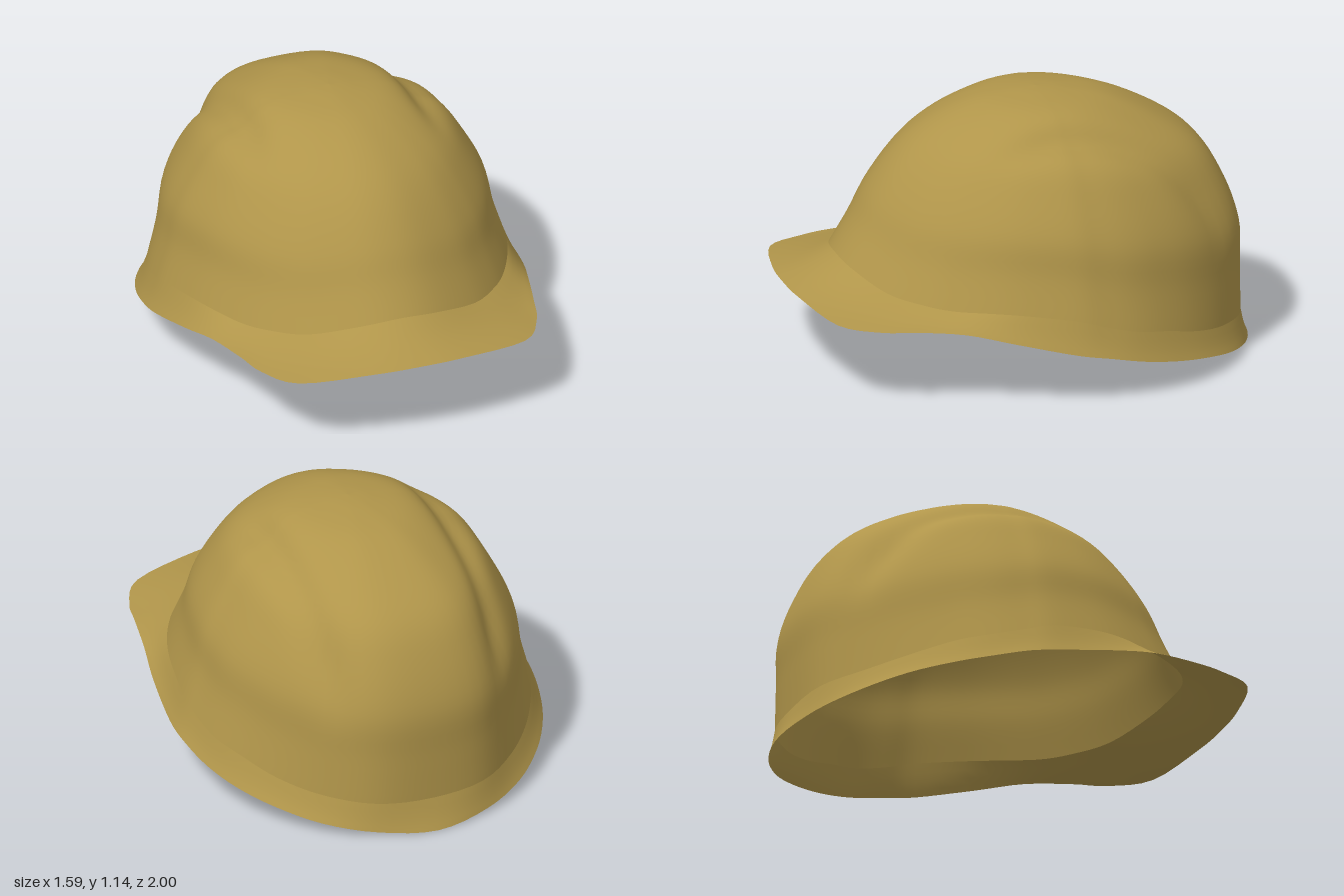
import * as THREE from 'three';

const SEGMENTS = 112;

// Half outlines from the front centre round the left side to the back centre.
const RIM = [
  [0, 0.39, 0.995], [0.2, 0.385, 0.98], [0.5, 0.36, 0.9], [0.61, 0.35, 0.74], [0.65, 0.35, 0.6],
  [0.7, 0.335, 0.4], [0.75, 0.29, 0.2], [0.79, 0.23, -0.05], [0.79, 0.2, -0.2], [0.76, 0.16, -0.36],
  [0.7, 0.125, -0.52], [0.6, 0.09, -0.68], [0.45, 0.05, -0.83], [0.25, 0.02, -0.945], [0, 0.0, -1],
];
const BASE = [
  [0, 0.5, 0.77], [0.17, 0.48, 0.745], [0.37, 0.43, 0.65], [0.5, 0.41, 0.53], [0.58, 0.4, 0.42],
  [0.65, 0.4, 0.28], [0.7, 0.39, 0.13], [0.74, 0.36, -0.07], [0.74, 0.32, -0.2], [0.72, 0.28, -0.34],
  [0.665, 0.25, -0.48], [0.57, 0.2, -0.64], [0.43, 0.16, -0.79], [0.24, 0.14, -0.92], [0, 0.13, -0.95],
];

// Dome profiles: height fraction, then radius fraction at the front, side and back.
const PROFILE = [
  [0, 1, 1, 1], [0.2, 0.91, 0.935, 1], [0.4, 0.83, 0.89, 0.995], [0.6, 0.72, 0.78, 0.91],
  [0.75, 0.6, 0.67, 0.79], [0.87, 0.45, 0.51, 0.58], [0.955, 0.28, 0.34, 0.36],
  [0.99, 0.12, 0.14, 0.15], [1, 0, 0, 0],
];
const APEX = new THREE.Vector3(0, 1.145, -0.1);

// Closed, mirrored loop sampled evenly in its parameter.
function loop(half) {
  const mirrored = half.slice(1, -1).reverse().map(([x, y, z]) => [-x, y, z]);
  const points = [...half, ...mirrored].map((p) => new THREE.Vector3(...p));
  const curve = new THREE.CatmullRomCurve3(points, true, 'catmullrom', 0.5);
  return Array.from({ length: SEGMENTS }, (_, i) => curve.getPoint(i / SEGMENTS));
}

// Skin a list of rings, listed from the bottom up.
function skin(rings) {
  const position = [], index = [];
  rings.forEach((ring) => ring.forEach((p) => position.push(p.x, p.y, p.z)));
  for (let r = 0; r < rings.length - 1; r++) {
    for (let i = 0; i < SEGMENTS; i++) {
      const j = (i + 1) % SEGMENTS;
      const a = r * SEGMENTS + i, b = r * SEGMENTS + j;
      index.push(a, b, b + SEGMENTS, a, b + SEGMENTS, a + SEGMENTS);
    }
  }
  const geometry = new THREE.BufferGeometry();
  geometry.setAttribute('position', new THREE.Float32BufferAttribute(position, 3));
  geometry.setIndex(index);
  geometry.computeVertexNormals();
  return geometry;
}

// Smooth interpolation of the profile table.
const profileCurves = [1, 2, 3].map((k) =>
  new THREE.CatmullRomCurve3(PROFILE.map((p) => new THREE.Vector3(p[k], p[0], 0)), false, 'catmullrom', 0.5));

function domePoint(base, t) {
  const dx = base.x - APEX.x, dz = base.z - APEX.z;
  const w = (dz * dz) / (dx * dx + dz * dz);
  const end = profileCurves[dz > 0 ? 0 : 2].getPoint(t);
  const f = profileCurves[1].getPoint(t).lerp(end, w);
  const p = new THREE.Vector3(
    APEX.x + dx * f.x, base.y + (APEX.y - base.y) * Math.min(f.y, 1), APEX.z + dz * f.x);

  // Shallow grooves either side of the raised centre crown, fading out at the front.
  const across = Math.exp(-(((Math.abs(p.x) - 0.39) / 0.06) ** 2));
  const fade = THREE.MathUtils.smoothstep(p.y, 0.4, 0.75) * (1 - THREE.MathUtils.smoothstep(p.z, -0.1, 0.25));
  const inward = new THREE.Vector3(0, 0.45, -0.1).sub(p).normalize();
  return p.addScaledVector(inward, 0.03 * across * fade);
}

export function createModel() {
  const group = new THREE.Group();
  group.name = 'hardHat';
  const yellow = new THREE.MeshStandardMaterial({ color: 0xb0954a, side: THREE.DoubleSide });
  yellow.name = 'dullYellow';

  const rim = loop(RIM), base = loop(BASE);
  const addPart = (name, steps, pointAt) => {
    const rings = Array.from({ length: steps + 1 }, (_, r) => rim.map((_, i) => pointAt(i, r / steps)));
    const mesh = new THREE.Mesh(skin(rings), yellow);
    mesh.name = name;
    group.add(mesh);
  };

  // Peak at the front, narrowing to a flared lip round the sides and back.
  addPart('brim', 4, (i, t) => {
    const p = rim[i].clone().lerp(base[i], t);
    p.y -= 0.01 * Math.sin(Math.PI * t);
    return p;
  });

  // Hollow dome with its raised crown.
  addPart('dome', 40, (i, t) => domePoint(base[i], t));

  return group;
}
